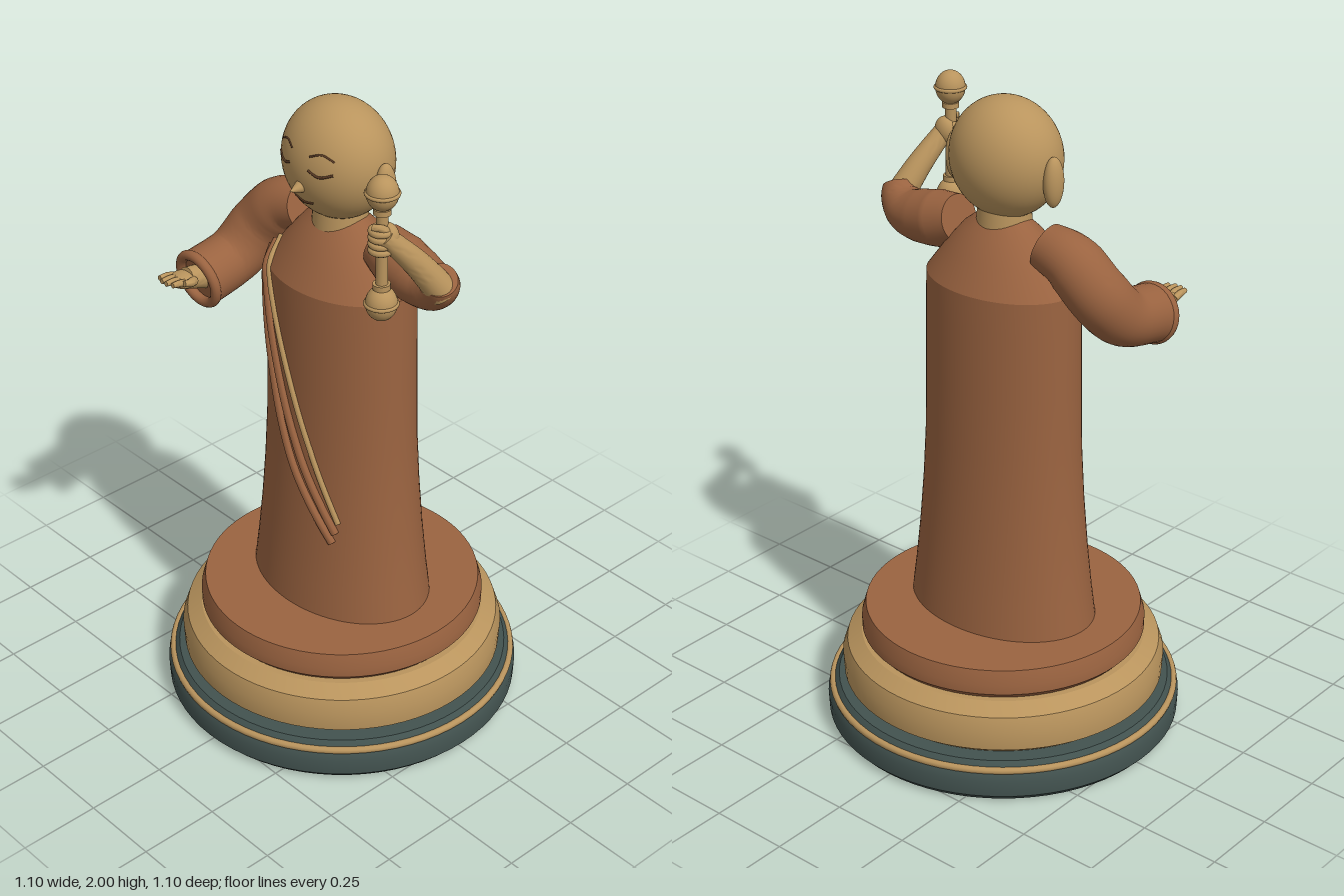
import * as THREE from 'three';
import { toCreasedNormals } from 'three/addons/utils/BufferGeometryUtils.js';

const V = (a) => new THREE.Vector3(...a);

// Profile of the robe: [radius, height]; depth is squashed by ROBE_DEPTH
const ROBE = [[0.315, 0.37], [0.3, 0.48], [0.284, 0.62], [0.27, 0.78], [0.26, 0.95], [0.256, 1.15],
  [0.253, 1.35], [0.25, 1.46], [0.19, 1.54], [0.13, 1.61], [0.078, 1.65]];
const ROBE_DEPTH = 0.73;

function robeFront(x, y) {
  let i = 1;
  while (i < ROBE.length - 1 && ROBE[i][1] < y) i++;
  const [r0, y0] = ROBE[i - 1], [r1, y1] = ROBE[i];
  const r = r0 + (r1 - r0) * (y - y0) / (y1 - y0);
  return ROBE_DEPTH * Math.sqrt(Math.max(0, r * r - x * x));
}

function lathe(profile, segments = 72, crease = 0.5) {
  const g = new THREE.LatheGeometry(profile.map((p) => new THREE.Vector2(...p)), segments);
  return toCreasedNormals(g, crease);
}

// Capped round tube with a radius that changes along the path
function loft(points, radii, steps = 24, sides = 24) {
  const curve = new THREE.CatmullRomCurve3(points.map(V));
  const frames = curve.computeFrenetFrames(steps);
  const pos = [], idx = [];
  const ring = (i, scale) => {
    const u = i / steps, c = curve.getPointAt(u);
    const f = u * (radii.length - 1), k = Math.min(Math.floor(f), radii.length - 2);
    const r = scale * THREE.MathUtils.lerp(radii[k], radii[k + 1], f - k);
    for (let j = 0; j < sides; j++) {
      const a = j / sides * Math.PI * 2;
      const p = c.clone().addScaledVector(frames.normals[i], Math.cos(a) * r)
        .addScaledVector(frames.binormals[i], Math.sin(a) * r);
      pos.push(p.x, p.y, p.z);
    }
  };
  ring(0, 0.001);
  for (let i = 0; i <= steps; i++) ring(i, 1);
  ring(steps, 0.001);
  for (let i = 0; i < steps + 2; i++) for (let j = 0; j < sides; j++) {
    const a = i * sides + j, b = i * sides + (j + 1) % sides, c = a + sides, d = b + sides;
    idx.push(a, b, c, b, d, c);
  }
  const g = new THREE.BufferGeometry();
  g.setAttribute('position', new THREE.Float32BufferAttribute(pos, 3));
  g.setIndex(idx);
  return toCreasedNormals(g, 0.8);
}

export function createModel() {
  const mat = (name, color) => Object.assign(new THREE.MeshStandardMaterial({ color }), { name });
  const brown = mat('robeBrown', 0x9a6340);
  const gold = mat('warmGold', 0xb9945d);
  const slate = mat('darkSlate', 0x42524f);
  const dark = mat('faceLine', 0x5a3a24);

  const model = new THREE.Group();
  model.name = 'statue';
  const add = (name, geo, material, pos = [0, 0, 0], scale = [1, 1, 1], parent = model) => {
    const m = new THREE.Mesh(geo, material);
    m.name = name;
    m.position.set(...pos);
    m.scale.set(...scale);
    parent.add(m);
    return m;
  };
  const group = (name) => {
    const g = new THREE.Group();
    g.name = name;
    model.add(g);
    return g;
  };
  const ball = new THREE.SphereGeometry(1, 32, 24);

  // Stepped round pedestal
  const base = group('pedestal');
  add('foot', lathe([[0, 0], [0.53, 0], [0.548, 0.02], [0.55, 0.07], [0.538, 0.1], [0.515, 0.125], [0, 0.125]]),
    slate, undefined, undefined, base);
  add('footTrim', new THREE.TorusGeometry(0.534, 0.011, 10, 72), gold, [0, 0.102, 0], undefined, base)
    .rotation.x = Math.PI / 2;
  add('middleTier', lathe([[0, 0.12], [0.465, 0.125], [0.497, 0.15], [0.5, 0.21], [0.485, 0.255], [0.44, 0.285],
    [0, 0.285]]), gold, undefined, undefined, base);
  add('topTier', lathe([[0, 0.28], [0.415, 0.28], [0.438, 0.305], [0.438, 0.335], [0.425, 0.38], [0, 0.38]]),
    brown, undefined, undefined, base);

  // Robe and neck
  add('robe', lathe([...ROBE, [0, 1.655]], 72, 0.45), brown, undefined, [1, 1, ROBE_DEPTH]);
  add('neck', new THREE.CylinderGeometry(0.075, 0.085, 0.12, 32), gold, [0, 1.65, 0.005]);

  // Diagonal sash folds lying on the robe
  const sash = (name, pts, r, material) => {
    const flat = new THREE.CatmullRomCurve3(pts.map(([x, y]) => V([x, y, 0]))).getPoints(16);
    const path = new THREE.CatmullRomCurve3(flat.map((p) => V([p.x, p.y, robeFront(p.x, p.y) + 0.003])));
    add(name, new THREE.TubeGeometry(path, 40, r, 8), material);
  };
  sash('sashOuterFold', [[-0.215, 1.48], [-0.13, 1.2], [-0.02, 0.91], [0.15, 0.65]], 0.013, brown);
  sash('sashInnerFold', [[-0.2, 1.5], [-0.095, 1.21], [0.02, 0.93], [0.157, 0.685]], 0.013, brown);
  sash('sashTrim', [[-0.175, 1.525], [-0.05, 1.23], [0.06, 0.96], [0.163, 0.72]], 0.009, gold);

  // Head, ears and face
  const head = group('head');
  const C = [0, 1.823, 0.013], R = [0.174, 0.177, 0.15];
  add('skull', new THREE.SphereGeometry(1, 48, 32), gold, C, R, head);
  for (const s of [-1, 1]) add(s < 0 ? 'rightEar' : 'leftEar', ball, gold, [s * 0.181, 1.79, 0.003], [0.027, 0.075, 0.034], head);
  const nose = add('nose', new THREE.ConeGeometry(0.026, 0.055, 20), gold, [0, 1.778, 0.168], undefined, head);
  nose.rotation.x = Math.PI / 2 + 0.1;
  const faceLine = (name, pts, r) => {
    const p = pts.map(([x, y]) => V([x, y, C[2] + R[2] * Math.sqrt(1 - (x / R[0]) ** 2 - ((y - C[1]) / R[1]) ** 2)]));
    add(name, new THREE.TubeGeometry(new THREE.CatmullRomCurve3(p), 16, r, 6), dark, undefined, undefined, head);
  };
  for (const s of [-1, 1]) {
    faceLine('brow', [[s * 0.035, 1.882], [s * 0.07, 1.894], [s * 0.105, 1.88]], 0.003);
    faceLine('closedEye', [[s * 0.036, 1.843], [s * 0.07, 1.831], [s * 0.108, 1.844]], 0.004);
  }
  faceLine('mouth', [[-0.038, 1.734], [0, 1.726], [0.038, 1.734]], 0.004);

  // Right arm, held low with the open hand forward
  const rightArm = group('rightArm');
  const put = (parent, name, pts, radii, material, steps, sides) =>
    add(name, loft(pts, radii, steps, sides), material, undefined, undefined, parent);
  put(rightArm, 'rightSleeve', [[-0.162, 1.598, -0.005], [-0.25, 1.57, 0], [-0.325, 1.485, 0.025], [-0.355, 1.4, 0.1],
    [-0.36, 1.365, 0.235]], [0.07, 0.088, 0.09, 0.086, 0.088], brown, 32, 32);
  const cuff = add('rightCuff', new THREE.TorusGeometry(0.078, 0.016, 12, 36), brown, [-0.36, 1.364, 0.24], undefined, rightArm);
  cuff.rotation.x = 0.15;
  put(rightArm, 'rightWrist', [[-0.36, 1.365, 0.2], [-0.357, 1.378, 0.25], [-0.356, 1.388, 0.29]], [0.042, 0.036, 0.032], gold, 8);
  add('rightPalm', ball, gold, [-0.356, 1.388, 0.3], [0.043, 0.022, 0.042], rightArm);
  for (let i = 0; i < 4; i++) {
    const x = -0.388 + i * 0.02, tip = 0.362 + (i === 1 || i === 2 ? 0.008 : 0);
    put(rightArm, 'rightFinger', [[x, 1.392, 0.31], [x, 1.4, 0.34], [x, 1.402, tip]], [0.011, 0.011, 0.008], gold, 6, 10);
  }
  put(rightArm, 'rightThumb', [[-0.325, 1.39, 0.285], [-0.312, 1.398, 0.31], [-0.314, 1.402, 0.33]], [0.014, 0.013, 0.009], gold, 6, 10);

  // Left arm, bent up to grip the staff
  const leftArm = group('leftArm');
  put(leftArm, 'leftSleeve', [[0.162, 1.6, -0.008], [0.27, 1.572, -0.002], [0.37, 1.565, 0.008], [0.42, 1.592, 0.024], [0.438, 1.622, 0.04]],
    [0.07, 0.085, 0.08, 0.068, 0.05], brown, 32, 32);
  put(leftArm, 'leftForearm', [[0.435, 1.58, 0.025], [0.405, 1.68, 0.095], [0.37, 1.785, 0.185]], [0.046, 0.037, 0.028], gold, 14);
  add('leftPalm', ball, gold, [0.366, 1.775, 0.168], [0.036, 0.042, 0.028], leftArm);
  for (let i = 0; i < 4; i++) {
    const f = add('leftFinger', new THREE.TorusGeometry(0.026, 0.0105, 10, 20, Math.PI * 1.4), gold,
      [0.356, 1.738 + i * 0.019, 0.184], undefined, leftArm);
    f.rotation.set(Math.PI / 2, 0, -0.5);
  }
  put(leftArm, 'leftThumb', [[0.375, 1.79, 0.17], [0.372, 1.81, 0.195], [0.35, 1.813, 0.212]], [0.013, 0.012, 0.009], gold, 6, 10);

  // Double-ended staff with a ringed ball at each end
  const staff = group('staff');
  const sx = 0.356, sz = 0.18;
  add('staffRod', new THREE.CylinderGeometry(0.017, 0.017, 0.32, 20), gold, [sx, 1.738, sz], undefined, staff);
  for (const [y, s] of [[1.907, -1], [1.57, 1]]) {
    add('staffBall', ball, gold, [sx, y, sz], [0.045, 0.051, 0.045], staff);
    add('staffRing', new THREE.TorusGeometry(0.044, 0.006, 10, 32), gold, [sx, y, sz], undefined, staff).rotation.x = Math.PI / 2;
    add('staffCollar', new THREE.CylinderGeometry(0.025, 0.025, 0.016, 20), gold, [sx, y + s * 0.054, sz], undefined, staff);
  }
  return model;
}
